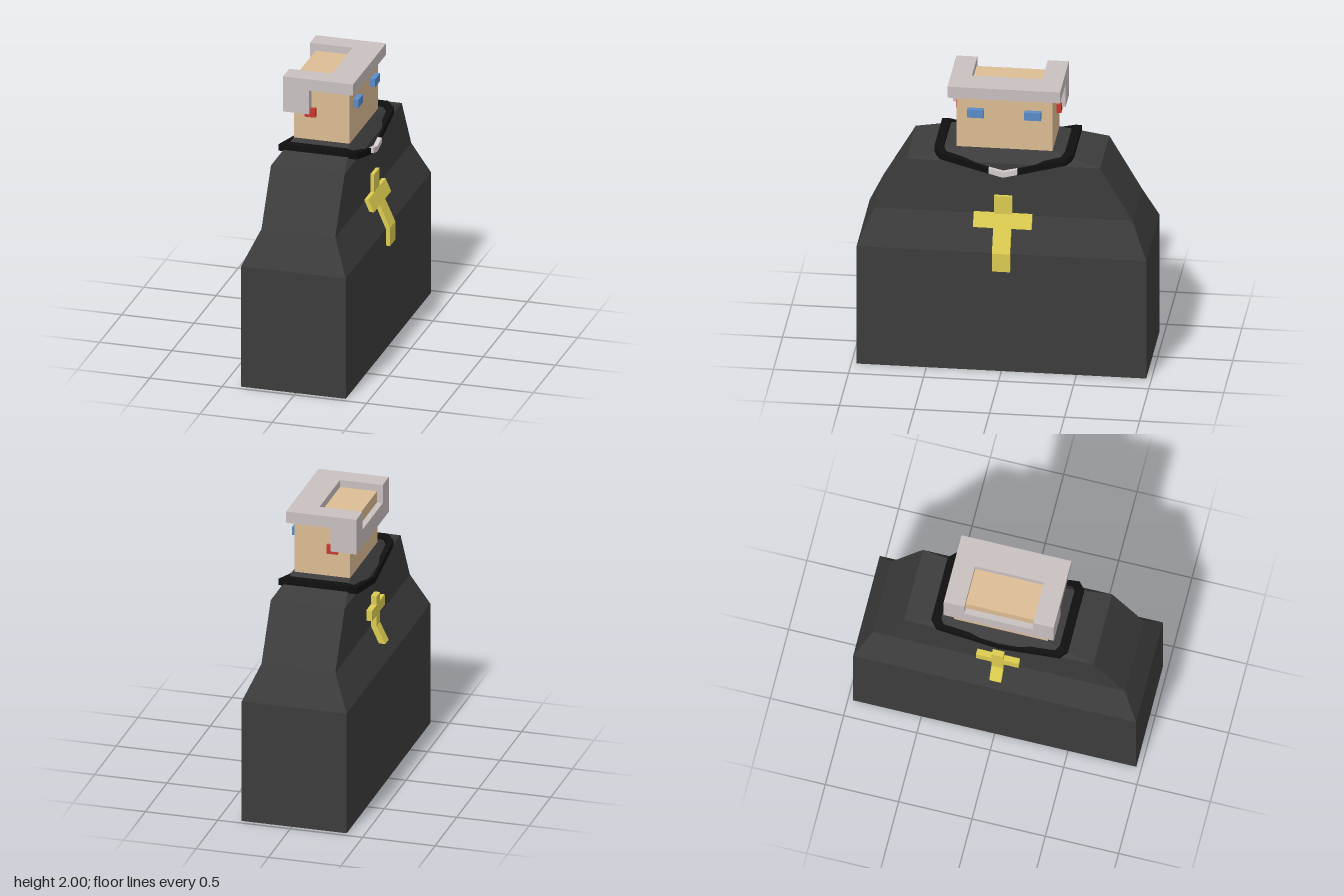
import * as THREE from 'three';

const mat = (color) => new THREE.MeshStandardMaterial({ color, flatShading: true });

export function createModel() {
  const model = new THREE.Group();
  const robe = mat(0x3c3c3c), black = mat(0x101010), skin = mat(0xdcbc94), hair = mat(0xc9c0c0);
  const gold = mat(0xdccc50), red = mat(0xc83830), blue = mat(0x5a8cc8), white = mat(0xd4cccc);

  const add = (name, geometry, material, parent = model) => {
    const mesh = new THREE.Mesh(geometry, material);
    mesh.name = name;
    parent.add(mesh);
    return mesh;
  };

  // Box given by its limits on each axis
  const box = (name, [x0, x1], [y0, y1], [z0, z1], material, parent) => {
    const mesh = add(name, new THREE.BoxGeometry(x1 - x0, y1 - y0, z1 - z0), material, parent);
    mesh.position.set((x0 + x1) / 2, (y0 + y1) / 2, (z0 + z1) / 2);
    return mesh;
  };

  // Skin over four-cornered cross-sections, closed at both ends
  const loft = (rings) => {
    const pos = [];
    const quad = (a, b, c, d) => pos.push(...a, ...b, ...c, ...a, ...c, ...d);
    for (let k = 0; k < rings.length - 1; k++) {
      for (let i = 0; i < 4; i++) {
        const j = (i + 1) % 4;
        quad(rings[k][i], rings[k][j], rings[k + 1][j], rings[k + 1][i]);
      }
    }
    const first = rings[0], last = rings[rings.length - 1];
    quad(first[3], first[2], first[1], first[0]);
    quad(last[0], last[1], last[2], last[3]);
    const g = new THREE.BufferGeometry();
    g.setAttribute('position', new THREE.Float32BufferAttribute(pos, 3));
    g.computeVertexNormals();
    return g;
  };

  // Robe: y, back x, front x, half width
  const robeRings = [
    [0, -0.38, 0.345, 0.965], [0.86, -0.38, 0.345, 0.965], [1.1, -0.27, 0.24, 0.86],
    [1.47, -0.27, 0.24, 0.645], [1.55, -0.21, 0.175, 0.32],
  ].map(([y, b, f, w]) => [[f, y, w], [f, y, -w], [b, y, -w], [b, y, w]]);
  add('robe', loft(robeRings), robe);

  // Collar band: outer x, outer z, inner x, inner z, bottom y, top y
  const strip = (path) => loft(path.map(([ox, oz, ix, iz, y0, y1]) =>
    [[ox, y0, oz], [ox, y1, oz], [ix, y1, iz], [ix, y0, iz]]));
  const half = [
    [0.255, 0.09, 0.22, 0.09, 1.395, 1.44],
    [0.255, 0.42, 0.22, 0.38, 1.485, 1.53],
    [0.2, 0.465, 0.18, 0.405, 1.505, 1.552],
    [-0.24, 0.465, -0.22, 0.405, 1.505, 1.552],
    [-0.288, 0.42, -0.255, 0.38, 1.485, 1.53],
  ];
  const mirrored = half.map(([ox, oz, ix, iz, a, b]) => [ox, -oz, ix, -iz, a, b]).reverse();
  add('collar', strip([...half, [-0.288, 0, -0.255, 0, 1.395, 1.44], ...mirrored]), black);
  add('collarTab', strip([
    [0.27, -0.095, 0.235, -0.095, 1.405, 1.443],
    [0.27, 0, 0.235, 0, 1.38, 1.42],
    [0.27, 0.095, 0.235, 0.095, 1.405, 1.443],
  ]), white);

  // Crosses: side profile extruded across the width
  const slab = (name, points, width, parent) => {
    const shape = new THREE.Shape(points.map((p) => new THREE.Vector2(...p)));
    const g = new THREE.ExtrudeGeometry(shape, { depth: width, bevelEnabled: false });
    add(name, g.translate(0, 0, -width / 2), gold, parent);
  };
  const frontCross = new THREE.Group();
  frontCross.name = 'frontCross';
  model.add(frontCross);
  slab('frontCrossPost', [[0.24, 1.24], [0.265, 1.24], [0.265, 1.11], [0.375, 0.87],
    [0.375, 0.74], [0.34, 0.74], [0.34, 0.86], [0.235, 1.1]], 0.12, frontCross);
  slab('frontCrossBar', [[0.235, 1.112], [0.266, 1.112], [0.305, 1.025], [0.265, 1.025], [0.235, 1.095]], 0.39, frontCross);
  const backCross = new THREE.Group();
  backCross.name = 'backCross';
  model.add(backCross);
  slab('backCrossPost', [[-0.265, 1.315], [-0.31, 1.315], [-0.31, 1.1],
    [-0.37, 0.98], [-0.32, 0.98], [-0.265, 1.1]], 0.08, backCross);
  slab('backCrossBar', [[-0.265, 1.255], [-0.311, 1.255], [-0.311, 1.18], [-0.265, 1.18]], 0.29, backCross);

  // Head with the bald crown
  const head = new THREE.Group();
  head.name = 'head';
  model.add(head);
  box('face', [-0.21, 0.175], [1.55, 1.92], [-0.32, 0.32], skin, head);
  box('crown', [-0.23, 0.025], [1.86, 1.95], [-0.235, 0.235], skin, head);

  // Hair ring, open at the back above a lower rim
  box('fringe', [0.025, 0.215], [1.92, 2], [-0.375, 0.375], hair, head);
  box('backHair', [-0.27, -0.21], [1.75, 1.87], [-0.375, 0.375], hair, head);
  const span = (s, a, b) => (s > 0 ? [a, b] : [-b, -a]);
  for (const s of [1, -1]) {
    const side = s > 0 ? 'left' : 'right';
    // The model looks along +x, so each pair is mirrored across z
    box(side + 'TopHair', [-0.27, 0.025], [1.92, 2], span(s, 0.235, 0.375), hair, head);
    box(side + 'BackCorner', [-0.27, -0.21], [1.87, 1.92], span(s, 0.235, 0.375), hair, head);
    box(side + 'Sideburn', [-0.21, -0.09], [1.75, 1.92], span(s, 0.32, 0.375), hair, head);
    box(side + 'Ear', [-0.13, -0.055], [1.72, 1.78], span(s, 0.31, 0.35), red, head);
    box(side + 'Eye', [0.165, 0.212], [1.78, 1.837], span(s, 0.135, 0.245), blue, head);
  }
  return model;
}
